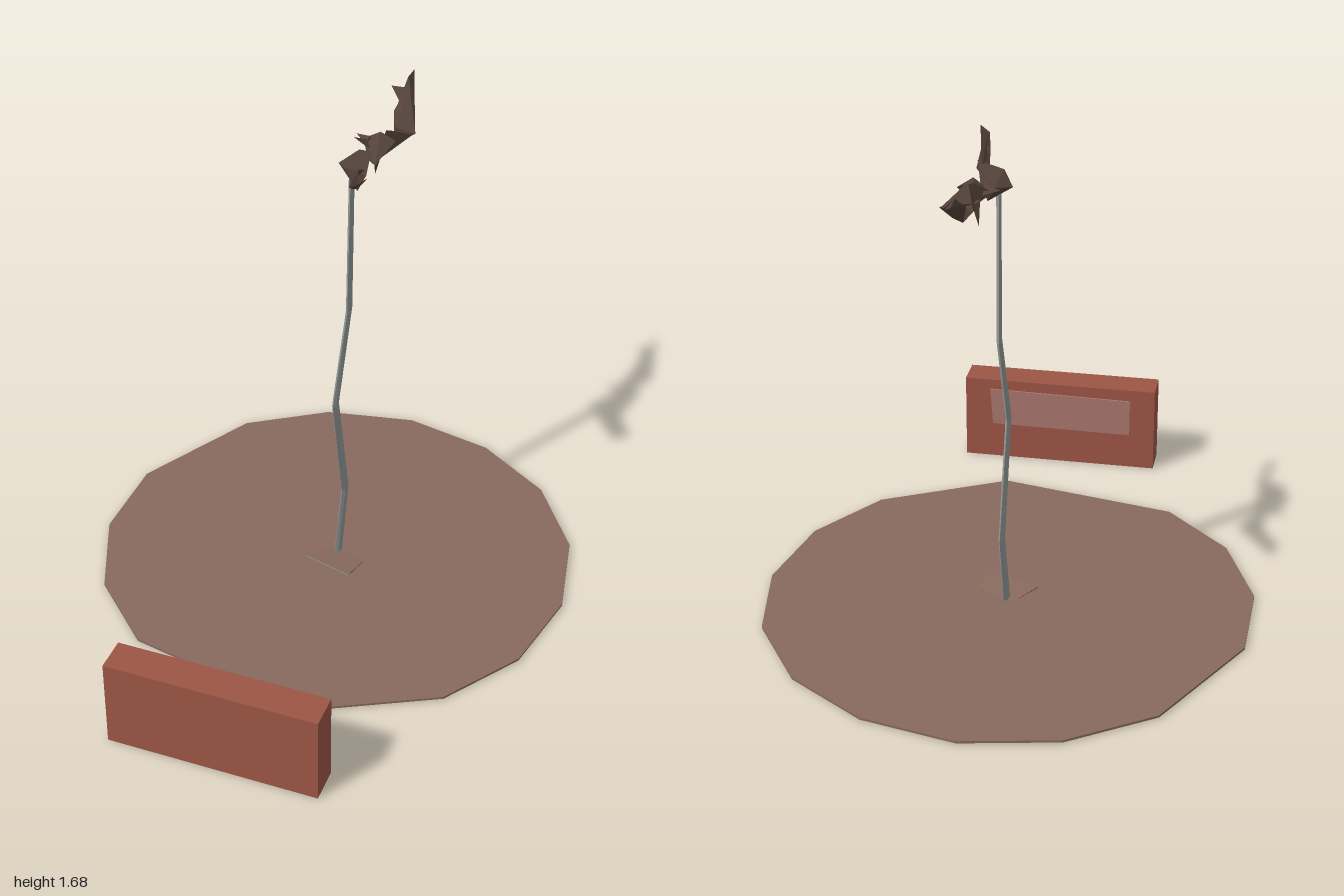
import * as THREE from 'three';
import { ConvexGeometry } from 'three/addons/geometries/ConvexGeometry.js';

const flat = (name, color) => {
  const m = new THREE.MeshStandardMaterial({ color, flatShading: true });
  m.name = name;
  return m;
};

export function createModel() {
  const group = new THREE.Group();
  const soil = flat('soil brown', 0x886a5e);
  const brick = flat('brick red', 0x9c5545);
  const plaqueMat = flat('dusty pink', 0xa8766e);
  const metal = flat('pole grey', 0x929997);
  const wreckMat = flat('charred brown', 0x54423a);

  const add = (name, geometry, material, parent = group) => {
    const mesh = new THREE.Mesh(geometry, material);
    mesh.name = name;
    parent.add(mesh);
    return mesh;
  };
  // Flat slab from an outline of [x, z] pairs
  const slab = (outline, y, depth) => {
    const shape = new THREE.Shape(outline.map(([x, z]) => new THREE.Vector2(x, -z)));
    return new THREE.ExtrudeGeometry(shape, { depth, bevelEnabled: false })
      .rotateX(-Math.PI / 2).translate(0, y, 0);
  };
  const hull = (points) => new ConvexGeometry(points.map((p) => new THREE.Vector3(...p)));

  // Irregular ground disc
  add('ground', slab([
    [-0.18, -0.845], [0.31, -0.905], [0.62, -0.785], [0.86, -0.555], [0.99, -0.25],
    [1.0, 0.075], [0.88, 0.385], [0.65, 0.62], [0.345, 0.755], [0.02, 0.76],
    [-0.42, 0.535], [-0.68, -0.06], [-0.63, -0.38], [-0.45, -0.66],
  ], 0.004, 0.008), soil);

  // Grey footing under the ground, with a lifted flap of soil around the pole
  const footing = [];
  for (let i = 0; i < 8; i++) {
    const a = (i / 8) * Math.PI * 2;
    footing.push([0.16 + 0.14 * Math.cos(a), -0.05 + 0.14 * Math.sin(a)]);
  }
  add('footing', slab(footing, 0, 0.006), metal);
  const flap = [[0.05, 0.021, -0.1], [0.11, 0.026, 0.08], [0.2, 0.016, 0.04], [0.18, 0.01, -0.1]];
  const lifted = (dy) => flap.map(([x, y, z]) => [x, y + dy, z]);
  add('groundFlap', hull([...flap, ...lifted(-0.003)]), soil);
  add('flapUnderside', hull([...lifted(-0.0035), ...lifted(-0.008)]), metal);

  // Bent pole: a flattened six-sided section lofted through its kinks
  const path = [
    [0.165, 0.008, -0.065], [0.208, 0.27, -0.087], [0.135, 0.69, -0.047],
    [0.225, 1.02, -0.1], [0.243, 1.54, -0.12],
  ];
  const sides = 6;
  const positions = [];
  const index = [];
  path.forEach(([x, y, z], r) => {
    const turn = 0.42 + r * 0.1;
    for (let s = 0; s < sides; s++) {
      const a = (s / sides) * Math.PI * 2;
      const u = 0.026 * Math.cos(a);
      const v = 0.009 * Math.sin(a);
      positions.push(x + u * Math.cos(turn) + v * Math.sin(turn), y,
        z - u * Math.sin(turn) + v * Math.cos(turn));
      if (r > 0) {
        const b = r * sides + s;
        const n = r * sides + (s + 1) % sides;
        index.push(b - sides, n, b, b - sides, n - sides, n);
      }
    }
  });
  const last = (path.length - 1) * sides;
  for (let s = 1; s < sides - 1; s++) index.push(last, last + s + 1, last + s);
  const poleGeo = new THREE.BufferGeometry();
  poleGeo.setAttribute('position', new THREE.Float32BufferAttribute(positions, 3));
  // Keep the winding outward
  for (let i = 0; i < index.length; i += 3) {
    const [a, b, c] = index.slice(i, i + 3).map((k) => new THREE.Vector3().fromArray(positions, k * 3));
    const normal = b.clone().sub(a).cross(c.clone().sub(a));
    const rings = index.slice(i, i + 3).map((k) => Math.floor(k / sides));
    const centre = new THREE.Vector3();
    rings.forEach((r) => centre.add(new THREE.Vector3(...path[r]).divideScalar(3)));
    const out = i >= (path.length - 1) * sides * 6 ? new THREE.Vector3(0, 1, 0)
      : a.add(b).add(c).divideScalar(3).sub(centre);
    if (normal.dot(out) < 0) [index[i + 1], index[i + 2]] = [index[i + 2], index[i + 1]];
  }
  poleGeo.setIndex(index);
  poleGeo.computeVertexNormals();
  add('bentPole', poleGeo, metal);

  // Fallen block with a thin, slightly skewed plaque on its inner face
  const block = new THREE.Group();
  block.name = 'block';
  block.position.set(-0.741, 0.163, 0.56);
  block.rotation.y = Math.atan2(0.42, 0.6);
  group.add(block);
  add('blockBody', new THREE.BoxGeometry(0.118, 0.326, 0.733), brick, block);
  const plaque = [[0.125, -0.225], [0.118, 0.318], [-0.024, 0.318], [-0.02, -0.215]];
  add('plaque', hull([0.057, 0.066].flatMap((x) =>
    plaque.map(([y, z]) => [x, y, -z + 0.05 - 0.005]).map(([px, py, pz]) => [px, py, pz]))),
  plaqueMat, block);

  // Crumpled wreckage on top, made of sharp faceted shards
  const shards = {
    leftBody: [[0.195, 1.525, -0.02], [0.3, 1.53, -0.13], [0.32, 1.585, -0.12], [0.215, 1.56, -0.155],
      [0.18, 1.59, -0.08], [0.2, 1.6, 0.02], [0.3, 1.58, -0.16]],
    leftUpperProng: [[0.12, 1.68, 0.09], [0.108, 1.655, 0.07], [0.17, 1.625, 0.03],
      [0.23, 1.585, -0.03], [0.18, 1.595, 0]],
    leftLowerProng: [[0.105, 1.605, 0.06], [0.12, 1.62, 0.082], [0.125, 1.59, 0.055],
      [0.2, 1.527, -0.03], [0.215, 1.58, 0.01]],
    leftTip: [[0.105, 1.605, 0.06], [0.12, 1.68, 0.09], [0.122, 1.615, 0.08], [0.108, 1.66, 0.06]],
    neck: [[0.3, 1.565, -0.11], [0.28, 1.58, -0.045], [0.36, 1.535, -0.14], [0.41, 1.6, -0.11],
      [0.345, 1.59, -0.2], [0.385, 1.62, -0.16]],
    rightBody: [[0.36, 1.53, -0.14], [0.4, 1.625, -0.15], [0.48, 1.59, -0.16], [0.47, 1.525, -0.2],
      [0.445, 1.56, -0.22], [0.51, 1.575, -0.15]],
    rightWing: [[0.47, 1.525, -0.2], [0.475, 1.59, -0.2], [0.52, 1.575, -0.15], [0.55, 1.575, -0.24],
      [0.61, 1.665, -0.31], [0.59, 1.62, -0.25], [0.52, 1.61, -0.27]],
    rightTip: [[0.59, 1.615, -0.25], [0.62, 1.68, -0.33], [0.675, 1.675, -0.37], [0.54, 1.62, -0.28]],
    rightBarb: [[0.565, 1.655, -0.35], [0.61, 1.65, -0.31], [0.55, 1.62, -0.27], [0.59, 1.64, -0.32]],
    upSpike: [[0.27, 1.64, -0.15], [0.32, 1.59, -0.13], [0.335, 1.575, -0.15], [0.34, 1.6, -0.17]],
    backSpike: [[0.335, 1.6, -0.225], [0.325, 1.59, -0.16], [0.37, 1.58, -0.18], [0.35, 1.61, -0.17]],
    downSpike: [[0.362, 1.47, -0.155], [0.345, 1.56, -0.14], [0.385, 1.545, -0.15], [0.37, 1.56, -0.17]],
  };
  const wreck = new THREE.Group();
  wreck.name = 'wreckage';
  group.add(wreck);
  for (const [name, points] of Object.entries(shards)) add(name, hull(points), wreckMat, wreck);

  return group;
}
